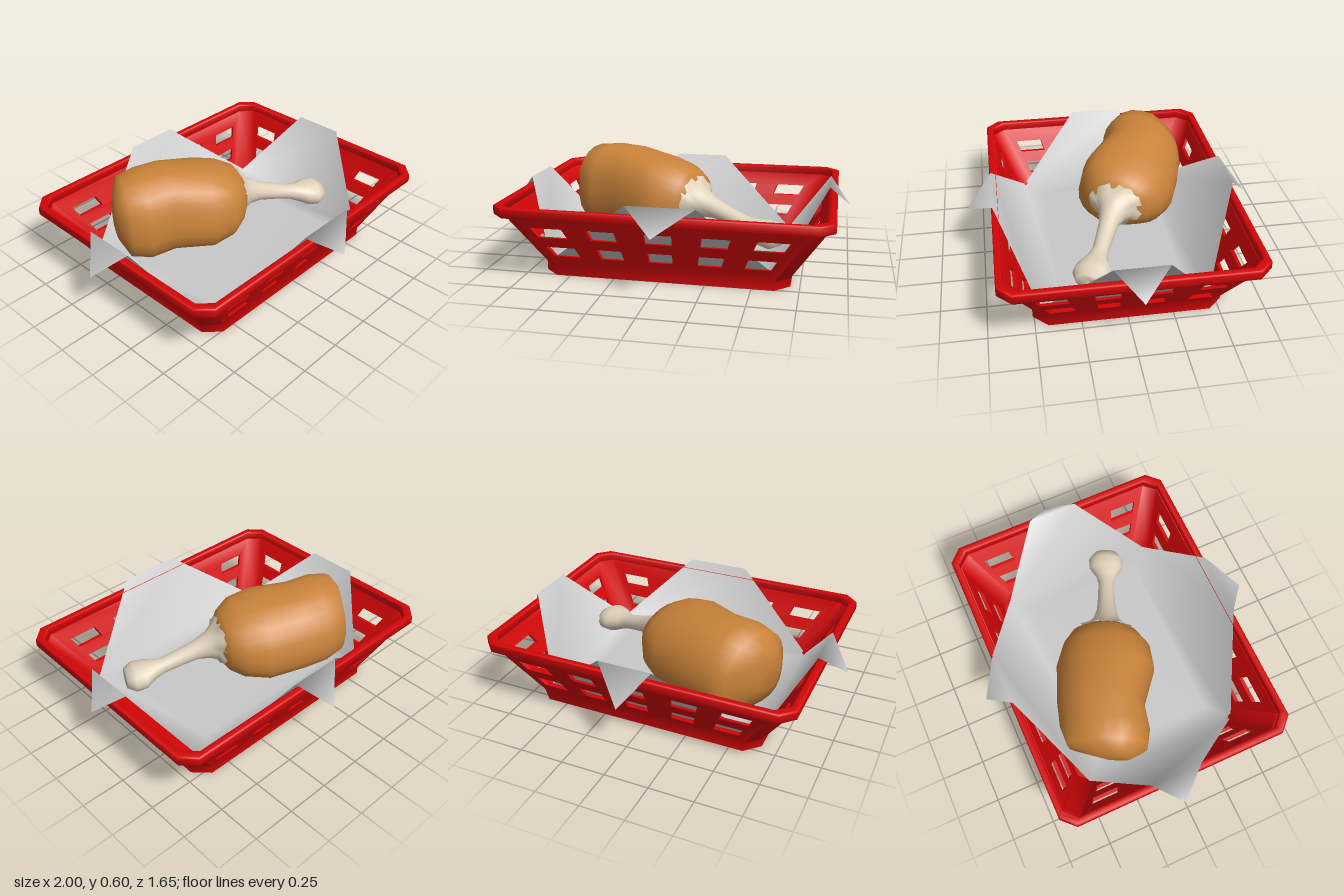
import * as THREE from 'three';
import { mergeGeometries, toCreasedNormals } from 'three/addons/utils/BufferGeometryUtils.js';

const mat = (name, color, side = THREE.FrontSide) =>
  Object.assign(new THREE.MeshStandardMaterial({ color, side }), { name });

const lerp = THREE.MathUtils.lerp;

function addMesh(parent, name, geometry, material) {
  const mesh = new THREE.Mesh(geometry, material);
  mesh.name = name;
  parent.add(mesh);
  return mesh;
}

// Rectangle with cut corners as [x, z] points, starting along the front edge
function octagon(hx, hz, c) {
  return [[-hx + c, hz], [hx - c, hz], [hx, hz - c], [hx, -hz + c],
    [hx - c, -hz], [-hx + c, -hz], [-hx, -hz + c], [-hx, hz - c]];
}
const toPoints = (list) => list.map(([x, y]) => new THREE.Vector2(x, y));

// Horizontal slab from an octagon, with an optional opening
function slab(outer, inner, y, height, bevel) {
  const shape = new THREE.Shape(toPoints(outer));
  if (inner) shape.holes.push(new THREE.Path(toPoints(inner).reverse()));
  const g = new THREE.ExtrudeGeometry(shape, {
    depth: height - 2 * bevel, bevelEnabled: bevel > 0, bevelSize: bevel,
    bevelThickness: bevel, bevelOffset: -bevel, bevelSegments: 2,
  });
  return g.rotateX(-Math.PI / 2).translate(0, y + bevel, 0);
}

// Sloped wall: a unit panel with holes, mapped between lower and upper octagons
const Y0 = 0.05, Y1 = 0.37;
function wallPanel(i, columns) {
  const shape = new THREE.Shape(toPoints([[0, 0], [1, 0], [1, 1], [0, 1]]));
  for (const [lo, hi] of [[0.12, 0.18], [0.24, 0.3]]) {
    const v0 = (lo - Y0) / (Y1 - Y0), v1 = (hi - Y0) / (Y1 - Y0);
    for (const [a, b] of columns) {
      const u0 = (a + 1) / 2, u1 = (b + 1) / 2;
      shape.holes.push(new THREE.Path(toPoints([[u0, v0], [u0, v1], [u1, v1], [u1, v0]])));
    }
  }
  const g = new THREE.ExtrudeGeometry(shape, { depth: 1, bevelEnabled: false });
  const p = g.attributes.position, j = (i + 1) % 8;
  for (let k = 0; k < p.count; k++) {
    const u = p.getX(k), v = p.getY(k), inset = 0.02 * (1 - p.getZ(k));
    const ring = octagon(lerp(0.68, 0.878, v) - inset, lerp(0.52, 0.672, v) - inset, 0.08 - inset * 0.6);
    p.setXYZ(k, lerp(ring[i][0], ring[j][0], u), lerp(Y0, Y1, v), lerp(ring[i][1], ring[j][1], u));
  }
  g.computeVertexNormals();
  return g;
}

function buildBasket(red) {
  const basket = new THREE.Group();
  basket.name = 'basket';
  basket.position.set(0.02, 0, -0.013);
  const mirror = (list) => [...list.map(([a, b]) => [-b, -a]).reverse(), ...list];
  const longCols = [...mirror([[0.31, 0.51], [0.69, 0.92]]), [-0.1, 0.1]];
  const shortCols = mirror([[0.13, 0.38], [0.63, 0.92]]);
  const parts = [slab(octagon(0.68, 0.52, 0.08), null, 0, Y0, 0)];
  for (let i = 0; i < 8; i++) {
    parts.push(wallPanel(i, i % 2 ? [] : i % 4 ? shortCols : longCols));
  }
  addMesh(basket, 'basketBody', toCreasedNormals(mergeGeometries(parts), 1), red);
  const rim = slab(octagon(0.905, 0.697, 0.075), octagon(0.862, 0.657, 0.066), 0.358, 0.057, 0.01);
  addMesh(basket, 'basketRim', toCreasedNormals(rim, 1), red);
  return basket;
}

function indexed(vertices, faces) {
  const g = new THREE.BufferGeometry();
  g.setAttribute('position', new THREE.Float32BufferAttribute(vertices.flat(), 3));
  g.setIndex(faces);
  g.computeVertexNormals();
  return g;
}

// Square sheet pushed into the basket, its four tips folded over the rim
function buildPaper(white) {
  const signs = [[-1, 1], [1, 1], [1, -1], [-1, -1]];
  const sides = [ // two fold points, then the tip
    [[-0.14, 0.465, 0.675], [0.23, 0.465, 0.675], [0.03, 0.34, 0.82]],
    [[0.88, 0.475, 0.11], [0.88, 0.475, -0.18], [1.0, 0.34, -0.03]],
    [[0.18, 0.465, -0.695], [-0.13, 0.465, -0.695], [0.01, 0.29, -0.83]],
    [[-0.86, 0.455, -0.19], [-0.86, 0.455, 0.11], [-1.0, 0.31, -0.04]],
  ];
  const verts = [
    ...signs.map(([x, z]) => [x * 0.5, 0.058, z * 0.35]),
    ...signs.map(([x, z]) => [x * 0.63, 0.064, z * 0.465]),
    ...sides.flat(),
  ];
  const faces = [0, 1, 2, 0, 2, 3];
  for (let i = 0; i < 4; i++) {
    const j = (i + 1) % 4, a = 8 + 3 * i;
    faces.push(4 + i, 4 + j, j, 4 + i, j, i); // soft bend around the floor
    faces.push(a, a + 1, 4 + j, a, 4 + j, 4 + i); // rising side
    faces.push(a, a + 2, a + 1); // folded tip
  }
  const paper = new THREE.Mesh(indexed(verts, faces), white);
  paper.name = 'paperLiner';
  return paper;
}

// Loft along the drumstick axis; rings are [along, across, halfWidth, y, halfHeight]
const AX = 0.9, AZ = 0.43;
function loft(rings, segments, power, bump) {
  const verts = [], faces = [];
  const sq = (t) => Math.sign(t) * Math.abs(t) ** power;
  rings.forEach(([d, p, w, y, h], i) => {
    for (let j = 0; j < segments; j++) {
      const a = (j / segments) * Math.PI * 2;
      const [k, shift] = bump(a, i, j);
      const along = d + shift, across = p + sq(Math.cos(a)) * w * k;
      verts.push([along * AX - across * AZ, y + sq(Math.sin(a)) * h * k, along * AZ + across * AX]);
      if (i < rings.length - 1) {
        const n = (j + 1) % segments, r = i * segments, s = r + segments;
        faces.push(r + j, s + j, r + n, s + j, s + n, r + n);
      }
    }
  });
  return indexed(verts, faces);
}

function buildDrumstick(brown, cream) {
  const leg = new THREE.Group();
  leg.name = 'drumstick';
  const meat = [
    [-0.69, 0.02, 0.001, 0.38, 0.001], [-0.685, 0.015, 0.09, 0.375, 0.13],
    [-0.63, -0.035, 0.225, 0.355, 0.225], [-0.52, -0.05, 0.255, 0.345, 0.25],
    [-0.37, -0.08, 0.25, 0.34, 0.25], [-0.15, -0.06, 0.285, 0.325, 0.24],
    [-0.02, -0.06, 0.255, 0.33, 0.207], [0.06, -0.07, 0.19, 0.335, 0.16],
    [0.1, -0.07, 0.12, 0.33, 0.1], [0.11, -0.07, 0.001, 0.33, 0.001],
  ];
  // Three soft ridges run along the meat, the tallest on top
  addMesh(leg, 'meat', loft(meat, 24, 0.88,
    (a, i) => [1 + 0.04 * Math.sin(3 * a - 2.36) + 0.012 * Math.cos(5 * a - i), 0]), brown);

  // The first rings form the ragged collar where the bone leaves the meat
  const bone = [
    [0.08, -0.07, 0.162, 0.335, 0.137], [0.112, -0.07, 0.115, 0.33, 0.1],
    [0.15, -0.07, 0.08, 0.318, 0.08], [0.22, -0.07, 0.058, 0.3, 0.058],
    [0.32, -0.075, 0.05, 0.27, 0.05], [0.42, -0.08, 0.046, 0.24, 0.046],
    [0.48, -0.08, 0.062, 0.222, 0.055], [0.54, -0.085, 0.1, 0.208, 0.073],
    [0.6, -0.085, 0.106, 0.203, 0.077], [0.65, -0.085, 0.07, 0.2, 0.05],
    [0.635, -0.085, 0.001, 0.2, 0.001],
  ];
  addMesh(leg, 'bone', loft(bone, 20, 1,
    (a, i, j) => [1, i === 0 ? 0.018 * Math.sin(j * 2.3) : 0]), cream);
  return leg;
}

export function createModel() {
  const model = new THREE.Group();
  model.name = 'chickenBasket';
  model.add(
    buildBasket(mat('basketRed', 0xd20507)),
    buildPaper(mat('paperGrey', 0xc8c8c8, THREE.DoubleSide)),
    buildDrumstick(mat('friedBrown', 0xca833a), mat('boneCream', 0xe0d2bc)),
  );
  return model;
}
